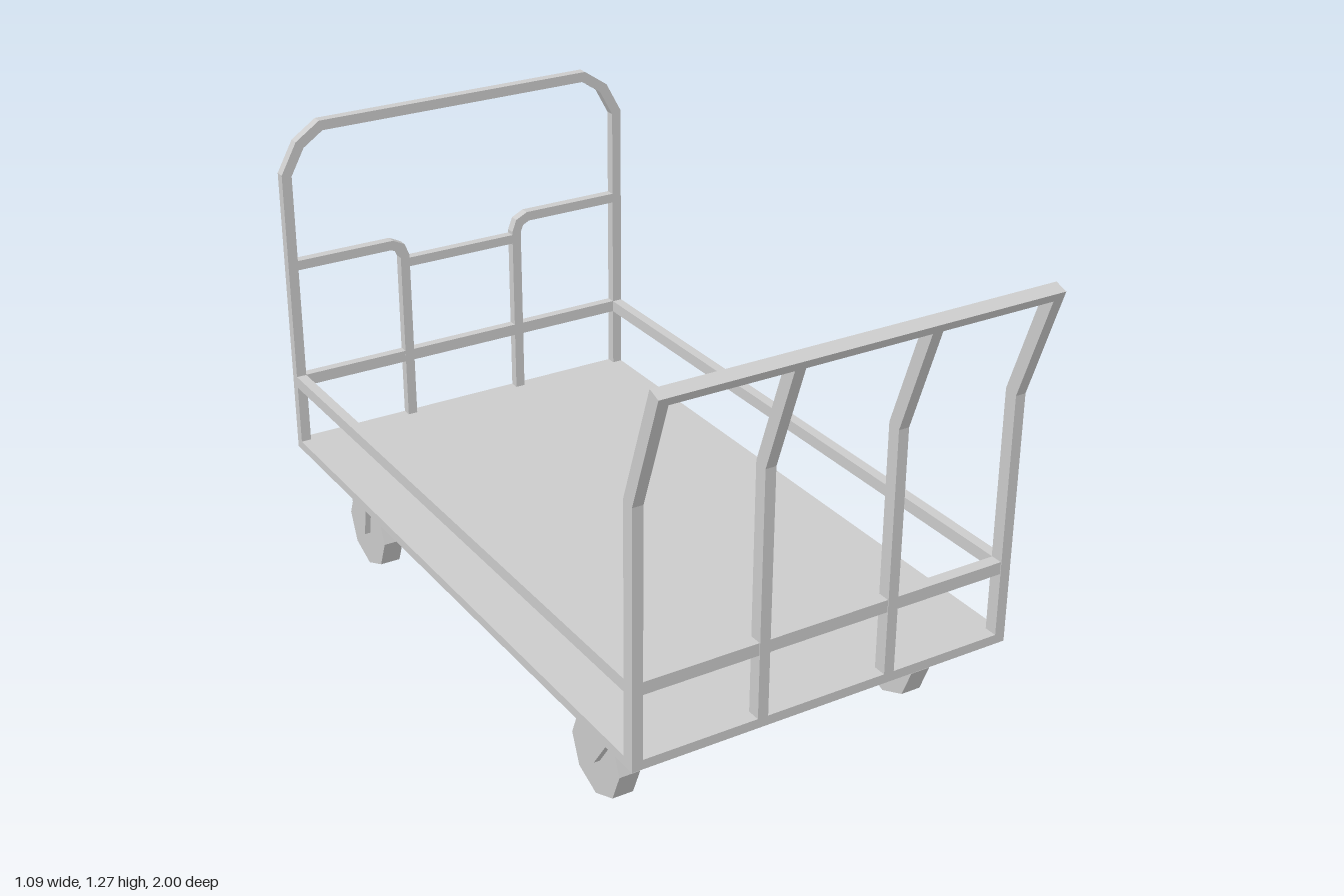
import * as THREE from 'three';

const material = new THREE.MeshStandardMaterial({ color: 0xcccccc, flatShading: true });

function addMesh(parent, name, geometry, x = 0, y = 0, z = 0) {
  const mesh = new THREE.Mesh(geometry, material);
  mesh.name = name;
  mesh.position.set(x, y, z);
  parent.add(mesh);
  return mesh;
}

// Box given by its [min, max] range on each axis
function addBox(parent, name, [x0, x1], [y0, y1], [z0, z1]) {
  return addMesh(parent, name, new THREE.BoxGeometry(x1 - x0, y1 - y0, z1 - z0),
    (x0 + x1) / 2, (y0 + y1) / 2, (z0 + z1) / 2);
}

// Flat outline extruded evenly about its own plane
function plate(points, depth) {
  const shape = new THREE.Shape(points.map(([x, y]) => new THREE.Vector2(x, y)));
  return new THREE.ExtrudeGeometry(shape, { depth, bevelEnabled: false }).translate(0, 0, -depth / 2);
}

// Rectangular bar following a bent centre line, with mitred corners
function bentBar(path, width, depth) {
  const p = path.map(([x, y]) => new THREE.Vector2(x, y));
  const left = [], right = [];
  p.forEach((point, i) => {
    const before = p[i].clone().sub(p[Math.max(i - 1, 0)]).normalize();
    const after = p[Math.min(i + 1, p.length - 1)].clone().sub(p[i]).normalize();
    if (i === 0) before.copy(after);
    if (i === p.length - 1) after.copy(before);
    const along = before.clone().add(after).normalize();
    const reach = width / 2 / along.dot(after);
    left.push([point.x - along.y * reach, point.y + along.x * reach]);
    right.unshift([point.x + along.y * reach, point.y - along.x * reach]);
  });
  return plate([...left, ...right], depth);
}

// Caster: octagonal wheel in a tapered fork; ranges are z at the top and at the axle
function addCaster(parent, name, x, z, [top0, top1], [low0, low1]) {
  const caster = new THREE.Group();
  caster.name = name;
  caster.position.x = x;
  parent.add(caster);
  const topY = 0.273, lowY = 0.116, bridgeY = 0.24;
  const t = (topY - bridgeY) / (topY - lowY);
  const mid0 = top0 + (low0 - top0) * t, mid1 = top1 + (low1 - top1) * t;
  const side = (y, a, b, depth) =>
    plate([[a, y], [b, y], [top1, topY], [top0, topY]], depth).rotateY(-Math.PI / 2);
  for (const s of [-1, 1])
    addMesh(caster, 'forkPlate', side(lowY, low0, low1, 0.017), s * 0.0425);
  addMesh(caster, 'forkBridge', side(bridgeY, mid0, mid1, 0.068));
  const wheel = new THREE.CylinderGeometry(0.114, 0.114, 0.058, 8).rotateZ(Math.PI / 2);
  addMesh(caster, 'wheel', wheel, 0, 0.115, z);
}

export function createModel() {
  const cart = new THREE.Group();
  cart.name = 'platformCart';

  const outer = 0.543, inner = 0.514, postX = 0.5285, innerX = 0.184;
  const deckTop = 0.299, railY = [0.474, 0.508];
  const frontZ = [0.859, 0.896], backZ = [-1, -0.972], backMid = -0.986;

  // Deck and the low rail around it
  addBox(cart, 'deck', [-outer, outer], [0.273, deckTop], [-1, 0.896]);
  for (const s of [-1, 1]) {
    const range = s > 0 ? [inner, outer] : [-outer, -inner];
    addBox(cart, 'sideRail', range, railY, [backZ[1], frontZ[0]]);
  }
  addBox(cart, 'frontRail', [-inner, inner], railY, [0.861, 0.894]);
  addBox(cart, 'backRail', [-inner, inner], railY, [-0.999, -0.973]);

  // Push handle: four posts leaning forward to a tilted top bar
  const frontFrame = new THREE.Group();
  frontFrame.name = 'pushHandle';
  cart.add(frontFrame);
  const bend = [0.8775, 0.965], tip = [0.976, 1.247];
  for (const x of [-postX, -innerX, innerX, postX])
    addMesh(frontFrame, 'handlePost',
      bentBar([[0.8775, deckTop], bend, tip], 0.037, 0.029).rotateY(-Math.PI / 2), x);
  const lean = Math.atan2(tip[0] - bend[0], tip[1] - bend[1]);
  const grip = addMesh(frontFrame, 'handleBar', new THREE.BoxGeometry(outer * 2, 0.022, 0.037),
    0, tip[1] + 0.011 * Math.cos(lean), tip[0] + 0.011 * Math.sin(lean));
  grip.rotation.x = lean;

  // Back frame: one hoop with chamfered corners
  const backFrame = new THREE.Group();
  backFrame.name = 'backFrame';
  cart.add(backFrame);
  const half = [[-postX, deckTop], [-postX, 1.118], [-0.484, 1.2], [-0.418, 1.245]];
  const hoop = [...half, ...half.map(([x, y]) => [-x, y]).reverse()];
  addMesh(backFrame, 'backHoop', bentBar(hoop, 0.029, 0.028), 0, 0, backMid);

  // Bent inner posts running out to the hoop, and the bar joining them
  for (const s of [-1, 1]) {
    const path = [[s * inner, 0.848], [s * 0.222, 0.848], [s * 0.194, 0.834],
      [s * 0.183, 0.806], [s * 0.183, deckTop]];
    if (s > 0) path.reverse();
    addMesh(backFrame, 'innerPost', bentBar(path, 0.028, 0.027), 0, 0, backMid);
  }
  addBox(backFrame, 'centreBar', [-0.17, 0.17], [0.772, 0.799], [-0.999, -0.973]);

  // Casters, with swept forks at the front
  for (const s of [-1, 1]) {
    const x = s * 0.437;
    addCaster(cart, 'frontCaster', x, 0.596, [0.539, 0.737], [0.56, 0.625]);
    addCaster(cart, 'backCaster', x, -0.708, [-0.764, -0.654], [-0.743, -0.678]);
  }
  return cart;
}
